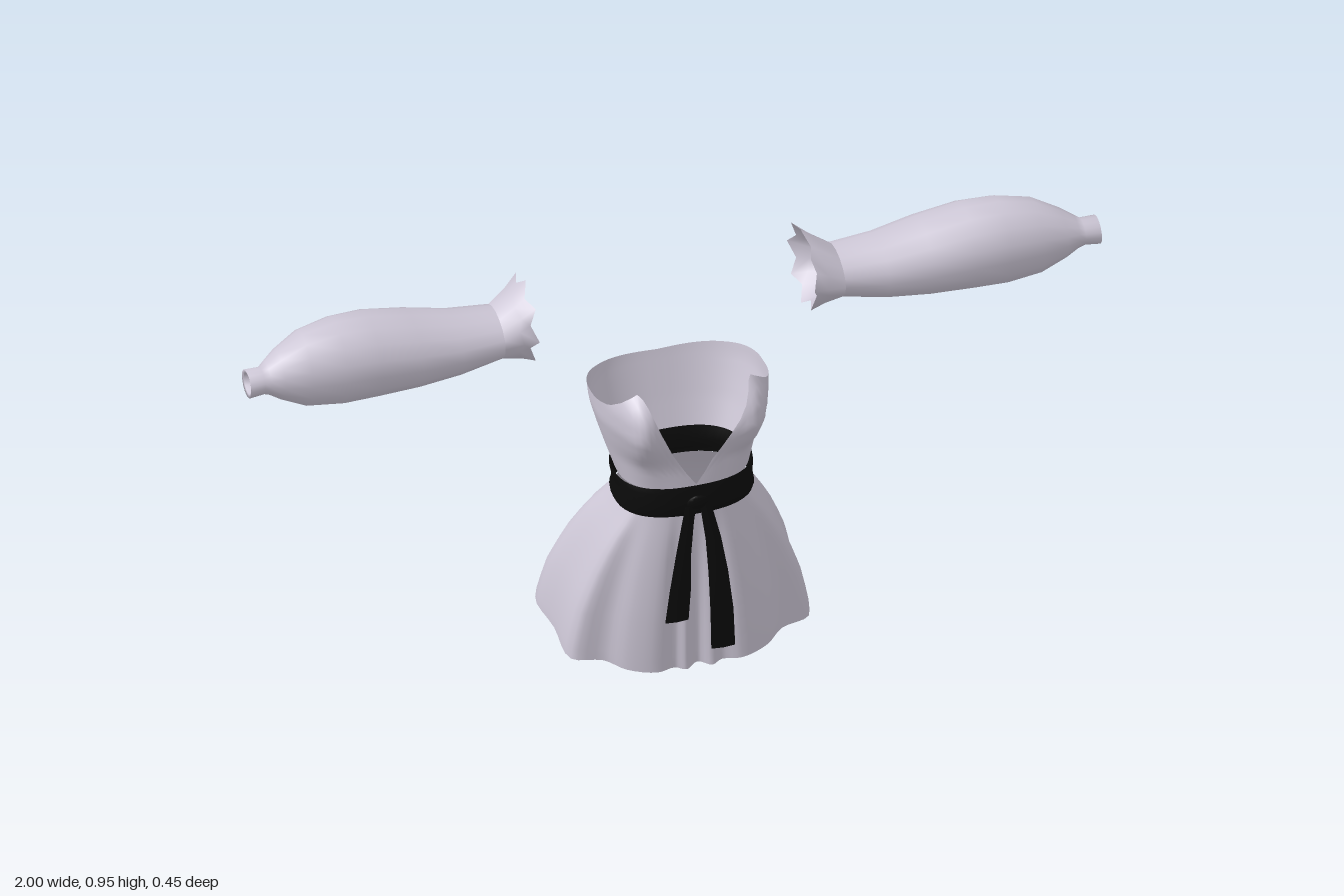
import * as THREE from 'three';

const cloth = new THREE.MeshStandardMaterial({ color: 0xcdc7d6, side: THREE.DoubleSide });
cloth.name = 'pale lavender cloth';
const black = new THREE.MeshStandardMaterial({ color: 0x0b0b0b, side: THREE.DoubleSide });
black.name = 'black ribbon';

const V = (x, y, z) => new THREE.Vector3(x, y, z);
const TAU = Math.PI * 2;

// Skin a surface over cross-sections with equal point counts
function loft(name, rings, material, closed = true) {
  const n = rings[0].length, pos = [], idx = [];
  rings.forEach(r => r.forEach(p => pos.push(p.x, p.y, p.z)));
  for (let i = 0; i < rings.length - 1; i++) {
    for (let j = 0; j < (closed ? n : n - 1); j++) {
      const k = (j + 1) % n;
      const a = i * n + j, b = i * n + k, c = a + n, d = b + n;
      idx.push(a, b, c, b, d, c);
    }
  }
  const g = new THREE.BufferGeometry();
  g.setAttribute('position', new THREE.Float32BufferAttribute(pos, 3));
  g.setIndex(idx);
  g.computeVertexNormals();
  const m = new THREE.Mesh(g, material);
  m.name = name;
  return m;
}

// Linear lookup in rows of [key, ...values], keys ascending
function lookup(rows, key) {
  let i = 0;
  while (i < rows.length - 2 && key > rows[i + 1][0]) i++;
  const a = rows[i], b = rows[i + 1];
  const t = THREE.MathUtils.clamp((key - a[0]) / (b[0] - a[0]), 0, 1);
  return a.slice(1).map((v, k) => v + (b[k + 1] - v) * t);
}

// Squarish oval body section; angle 0 is the front
const soft = v => Math.sign(v) * Math.pow(Math.abs(v), 0.8);
function bodyPoint(y, a, rx, front, back) {
  return V(rx * soft(Math.sin(a)), y, (front + back) / 2 + (front - back) / 2 * soft(Math.cos(a)));
}

// Bodice: half width, front, back and bust fullness by height
const BODICE = [
  [0.485, 0.152, 0.178, -0.055, 0], [0.55, 0.172, 0.175, -0.08, 0.01],
  [0.6, 0.187, 0.188, -0.098, 0.035], [0.65, 0.2, 0.198, -0.116, 0.05],
  [0.7, 0.203, 0.196, -0.132, 0.046], [0.73, 0.197, 0.19, -0.135, 0.03],
  [0.75, 0.188, 0.182, -0.14, 0.008]];
// Neckline height by degrees from the front
const NECK = [[0, 0.49], [6, 0.53], [12, 0.57], [18, 0.63], [26, 0.7], [33, 0.74],
  [40, 0.752], [50, 0.737], [65, 0.706], [90, 0.69], [135, 0.672], [180, 0.66]];

function bodice() {
  const rings = [], n = 80, rows = 14;
  for (let i = 0; i <= rows; i++) {
    const ring = [];
    for (let j = 0; j < n; j++) {
      const a = j / n * TAU - Math.PI, deg = Math.abs(a) * 180 / Math.PI;
      const y = 0.485 + (lookup(NECK, deg)[0] - 0.485) * i / rows;
      const [rx, front, back, bust] = lookup(BODICE, y);
      const p = bodyPoint(y, a, rx, front, back);
      p.z += bust * Math.exp(-(((deg - 38) / 18) ** 2));
      ring.push(p);
    }
    rings.push(ring);
  }
  return loft('bodice', rings, cloth);
}

function sash() {
  const rows = [[0.413, 0.16, 0.184, -0.054], [0.425, 0.162, 0.189, -0.054],
    [0.45, 0.157, 0.188, -0.047], [0.475, 0.161, 0.184, -0.056], [0.488, 0.16, 0.18, -0.06]];
  return loft('sash', rows.map(([y, ...s]) =>
    Array.from({ length: 48 }, (_, j) => bodyPoint(y, j / 48 * TAU, ...s))), black);
}

// Skirt hem, front to back on the left side
const HEM = [[0, 0.006, 0.185], [0.03, 0.003, 0.203], [0.055, 0.006, 0.192], [0.1, 0.01, 0.205],
  [0.165, 0.018, 0.185], [0.21, 0.03, 0.15], [0.28, 0.036, 0.13], [0.285, 0.048, 0.02],
  [0.295, 0.06, -0.09], [0.205, 0.048, -0.165], [0.13, 0.034, -0.222], [0.025, 0.032, -0.222],
  [0, 0.034, -0.205]];

function skirt() {
  const group = new THREE.Group();
  group.name = 'skirt';
  const mirrored = HEM.slice(1, -1).reverse().map(([x, y, z]) => [-x, y, z]);
  const curve = new THREE.CatmullRomCurve3([...HEM, ...mirrored].map(p => V(...p)), true);
  const hem = Array.from({ length: 96 }, (_, i) => curve.getPoint(i / 96));
  const waist = hem.map(p => bodyPoint(0.416, Math.atan2(p.x / 0.3, p.z / 0.21), 0.155, 0.18, -0.05));
  // [share of the drop, share of the flare]
  const flare = [[1, 1], [0.93, 0.985], [0.82, 0.93], [0.68, 0.85], [0.55, 0.73], [0.42, 0.6],
    [0.29, 0.44], [0.18, 0.29], [0.09, 0.14], [0, 0]];
  const rings = flare.map(([drop, out]) => hem.map((p, i) => {
    const q = waist[i].clone().lerp(p, out);
    q.y = waist[i].y + (p.y - waist[i].y) * drop;
    return q;
  }));
  group.add(loft('skirtShell', rings, cloth));
  // Hem turned inward around the leg openings
  const inner = hem.map(p => V(p.x * 0.76, p.y + 0.008, p.z * 0.66));
  group.add(loft('turnedHem', [inner, hem], cloth));
  // Narrow strip between the leg openings
  const strip = [[0.145, 0.06, 0.014], [0.1, 0.035, 0.024], [0.04, 0.016, 0.026],
    [-0.04, 0.01, 0.028], [-0.1, 0.02, 0.032], [-0.15, 0.05, 0.04]];
  group.add(loft('legDivider', strip.map(([z, w, y]) => [V(-w, y, z), V(w, y, z)]), cloth, false));
  return group;
}

// Hanging ribbon: rows of [x, y, z, width], bottom to top
function ribbon(name, rows) {
  return loft(name, rows.map(([x, y, z, w]) =>
    [V(x - w / 2, y, z), V(x, y, z + 0.003), V(x + w / 2, y, z)]), black, false);
}

// Sleeve: x, centre y, centre z, half height, half depth
const SLEEVE = [[0.36, 0.848, -0.06, 0.072, 0.086], [0.4, 0.84, -0.053, 0.054, 0.077],
  [0.5, 0.833, -0.053, 0.07, 0.088], [0.6, 0.841, -0.05, 0.087, 0.1],
  [0.7, 0.85, -0.045, 0.1, 0.102], [0.78, 0.851, -0.04, 0.103, 0.097],
  [0.86, 0.85, -0.034, 0.09, 0.083], [0.92, 0.852, -0.023, 0.058, 0.06],
  [0.95, 0.855, -0.014, 0.038, 0.042], [0.965, 0.855, -0.008, 0.03, 0.034],
  [1, 0.855, -0.005, 0.032, 0.036], [0.998, 0.855, -0.005, 0.024, 0.027],
  [0.965, 0.855, -0.007, 0.024, 0.027]];

function sleeve(side, name) {
  const group = new THREE.Group();
  group.name = name;
  const n = 16;
  const oval = ([x, y, z, h, d], wave = 0) => Array.from({ length: n }, (_, j) => {
    const a = j / n * TAU * side;
    const r = 1 + wave * (j % 2 ? -1 : 1);
    return V(side * (x - wave * 0.06 * (j % 2 ? -1 : 1)), y + h * r * Math.cos(a), z + d * r * Math.sin(a));
  });
  // Arm tube with a tucked wrist opening
  group.add(loft('sleeveTube', SLEEVE.slice(1).map(r => oval(r)).reverse(), cloth));
  // Flared jagged frill at the upper arm
  group.add(loft('sleeveFrill', [oval(SLEEVE[1]), oval(SLEEVE[0], 0.05),
    oval([0.33, 0.852, -0.07, 0.09, 0.095], 0.11)], cloth));
  return group;
}

export function createModel() {
  const model = new THREE.Group();
  model.name = 'dressWithSleeves';
  model.add(bodice(), sash(), skirt());
  model.add(ribbon('rightRibbon', [[-0.058, 0.15, 0.217, 0.055], [-0.048, 0.23, 0.211, 0.05],
    [-0.038, 0.32, 0.203, 0.036], [-0.024, 0.4, 0.192, 0.028], [-0.016, 0.44, 0.188, 0.026]]));
  model.add(ribbon('leftRibbon', [[0.05, 0.06, 0.22, 0.056], [0.048, 0.16, 0.217, 0.054],
    [0.042, 0.26, 0.209, 0.046], [0.033, 0.35, 0.2, 0.036], [0.018, 0.44, 0.188, 0.026]]));
  // Knot at the front of the sash
  const knot = new THREE.Mesh(new THREE.SphereGeometry(1, 12, 8), black);
  knot.name = 'sashKnot';
  knot.scale.set(0.025, 0.018, 0.006);
  knot.position.set(0, 0.447, 0.188);
  model.add(knot, sleeve(1, 'leftSleeve'), sleeve(-1, 'rightSleeve'));
  return model;
}
